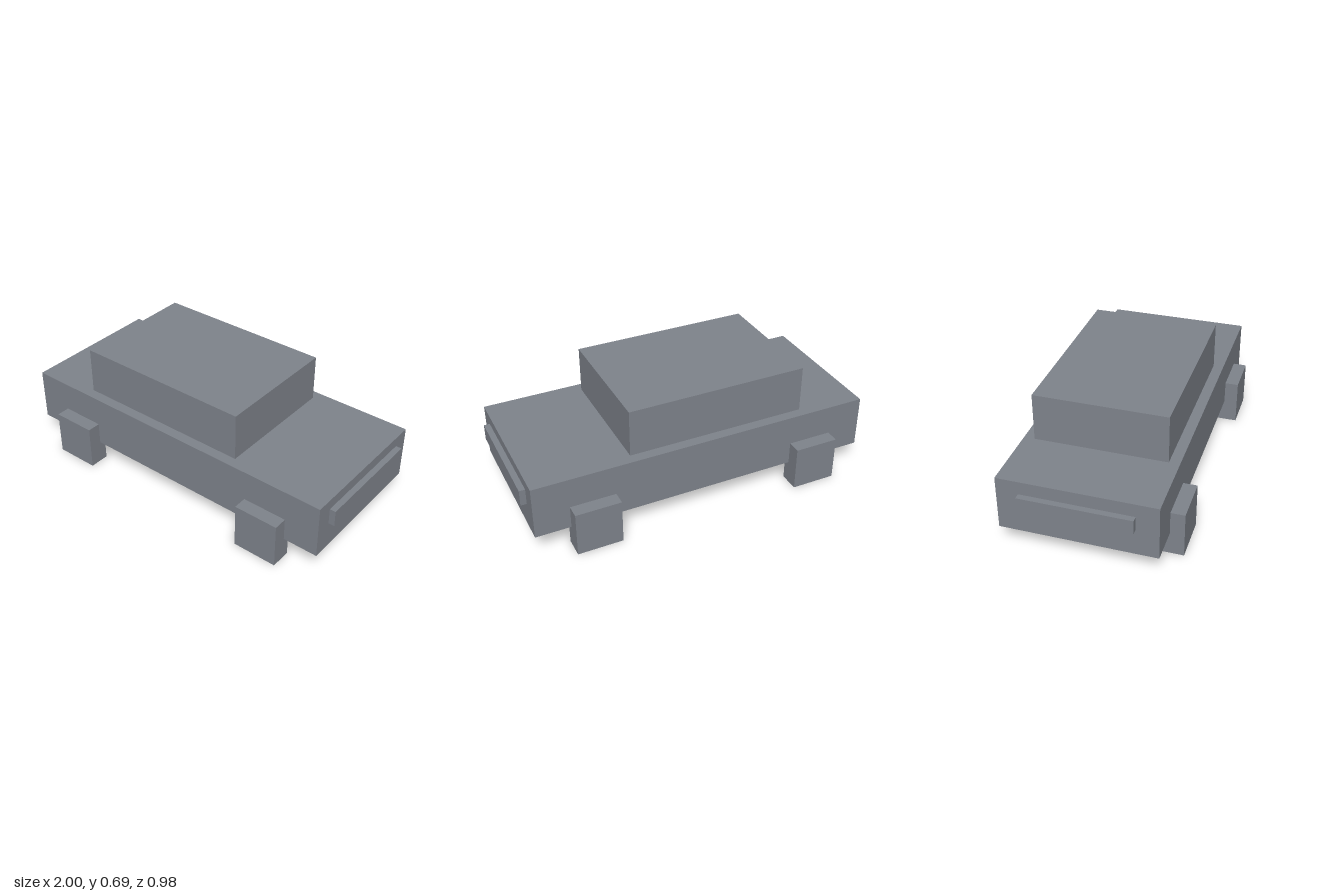
import * as THREE from 'three';

const material = new THREE.MeshStandardMaterial({ color: 0x7e838b });

// Box given by its lower and upper corners
function block(name, [x0, y0, z0], [x1, y1, z1]) {
  const geometry = new THREE.BoxGeometry(x1 - x0, y1 - y0, z1 - z0);
  const mesh = new THREE.Mesh(geometry, material);
  mesh.position.set((x0 + x1) / 2, (y0 + y1) / 2, (z0 + z1) / 2);
  mesh.name = name;
  return mesh;
}

export function createModel() {
  const car = new THREE.Group();
  car.name = 'blockCar';

  // Main body and cabin
  car.add(block('body', [-0.967, 0.126, -0.415], [0.967, 0.425, 0.415]));
  car.add(block('cabin', [-0.6, 0.425, -0.357], [0.414, 0.688, 0.357]));

  // Raised bars at the two ends of the car
  car.add(block('noseBar', [0.967, 0.276, -0.323], [1, 0.367, 0.323]));
  car.add(block('tailBar', [-1, 0.276, -0.297], [-0.967, 0.352, 0.297]));

  // Four square wheels, partly sunk into the body
  for (const [end, x] of [['nose', 0.647], ['tail', -0.647]]) {
    for (const [side, z] of [['Front', 0.434], ['Back', -0.434]]) {
      car.add(block(`${end}${side}Wheel`,
        [x - 0.126, 0, z - 0.057], [x + 0.126, 0.254, z + 0.057]));
    }
  }
  return car;
}
